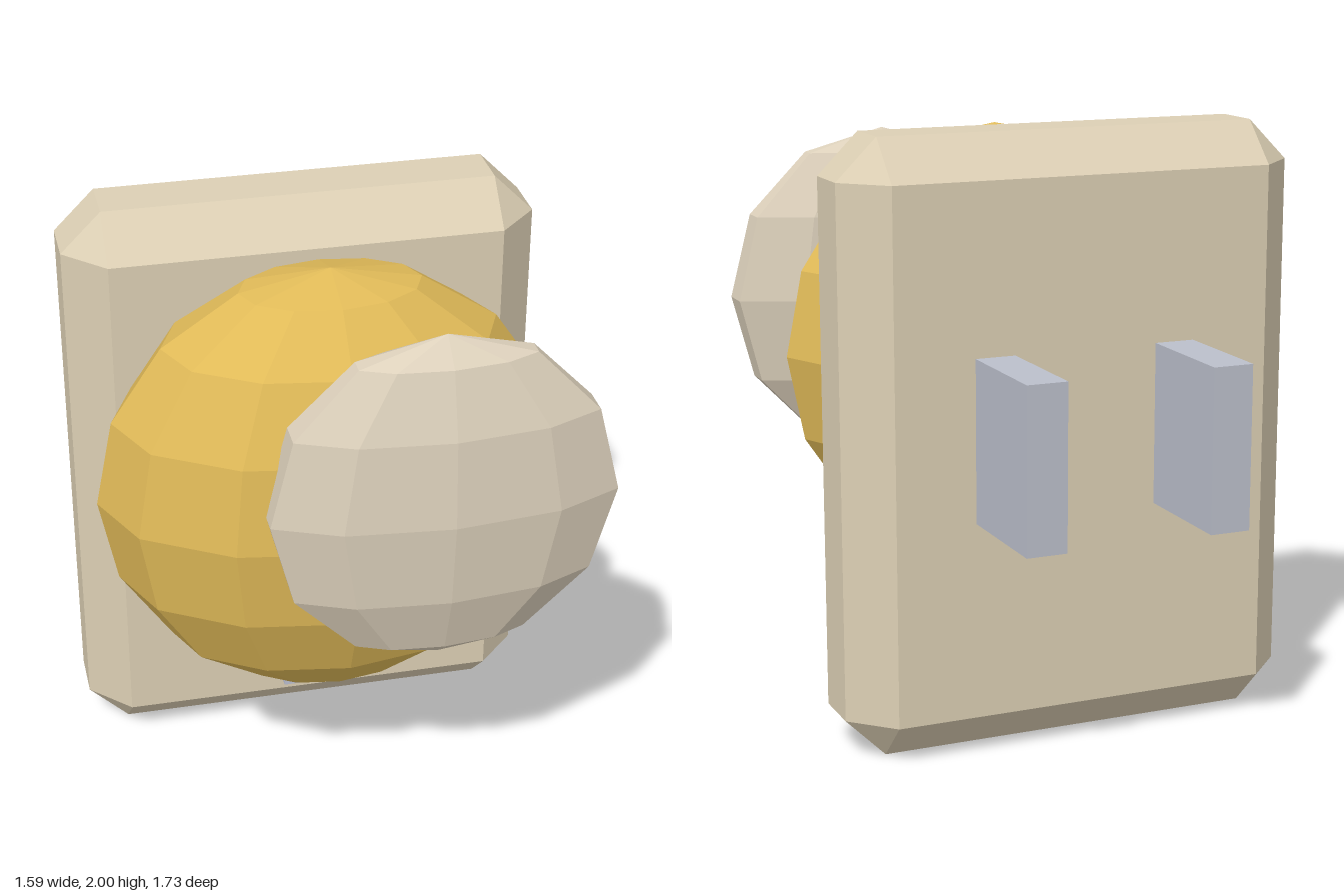
import * as THREE from 'three';
import { ConvexGeometry } from 'three/addons/geometries/ConvexGeometry.js';

const mat = (name, color) => {
  const m = new THREE.MeshStandardMaterial({ color });
  m.name = name;
  m.flatShading = true;
  return m;
};

// Box with every edge cut at 45 degrees, leaving small corner triangles
function chamferedBox(w, h, d, c) {
  const points = [];
  for (const sx of [-1, 1]) for (const sy of [-1, 1]) for (const sz of [-1, 1]) {
    for (let axis = 0; axis < 3; axis++) {
      const inset = [c, c, c];
      inset[axis] = 0;
      points.push(new THREE.Vector3(
        sx * (w / 2 - inset[0]), sy * (h / 2 - inset[1]), sz * (d / 2 - inset[2])));
    }
  }
  return new ConvexGeometry(points);
}

export function createModel() {
  const group = new THREE.Group();
  group.name = 'nightLight';

  const cream = mat('cream plastic', 0xdccfb4);
  const gold = mat('golden glow', 0xe0ba58);
  const pale = mat('pale cover', 0xdcd0bb);
  const metal = mat('prong metal', 0xbbbfcb);
  const sensorGrey = mat('sensor grey', 0xbcbfd0);

  const add = (name, geometry, material, x, y, z) => {
    const mesh = new THREE.Mesh(geometry, material);
    mesh.name = name;
    mesh.position.set(x, y, z);
    group.add(mesh);
  };

  // Plug body
  add('body', chamferedBox(1.555, 2, 0.443, 0.134), cream, -0.02, 1, -0.243);

  // Flattened glowing globe
  add('globe', new THREE.SphereGeometry(1, 12, 8).scale(0.753, 0.753, 0.452),
    gold, -0.02, 1.203, 0.288);

  // Thin disc covering part of the globe, off to one side
  add('coverDisc', new THREE.SphereGeometry(1, 10, 6).rotateY(Math.PI / 2).scale(0.575, 0.575, 0.172),
    pale, 0.243, 1.336, 0.69);

  // Light sensor under the globe
  add('sensor', new THREE.BoxGeometry(0.223, 0.22, 0.14), sensorGrey, -0.022, 0.335, 0.01);

  // Two flat prongs at the back
  for (const side of [-1, 1]) {
    add(side < 0 ? 'rightProng' : 'leftProng', new THREE.BoxGeometry(0.134, 0.532, 0.44),
      metal, -0.022 + side * 0.311, 1.048, -0.645);
  }

  return group;
}
